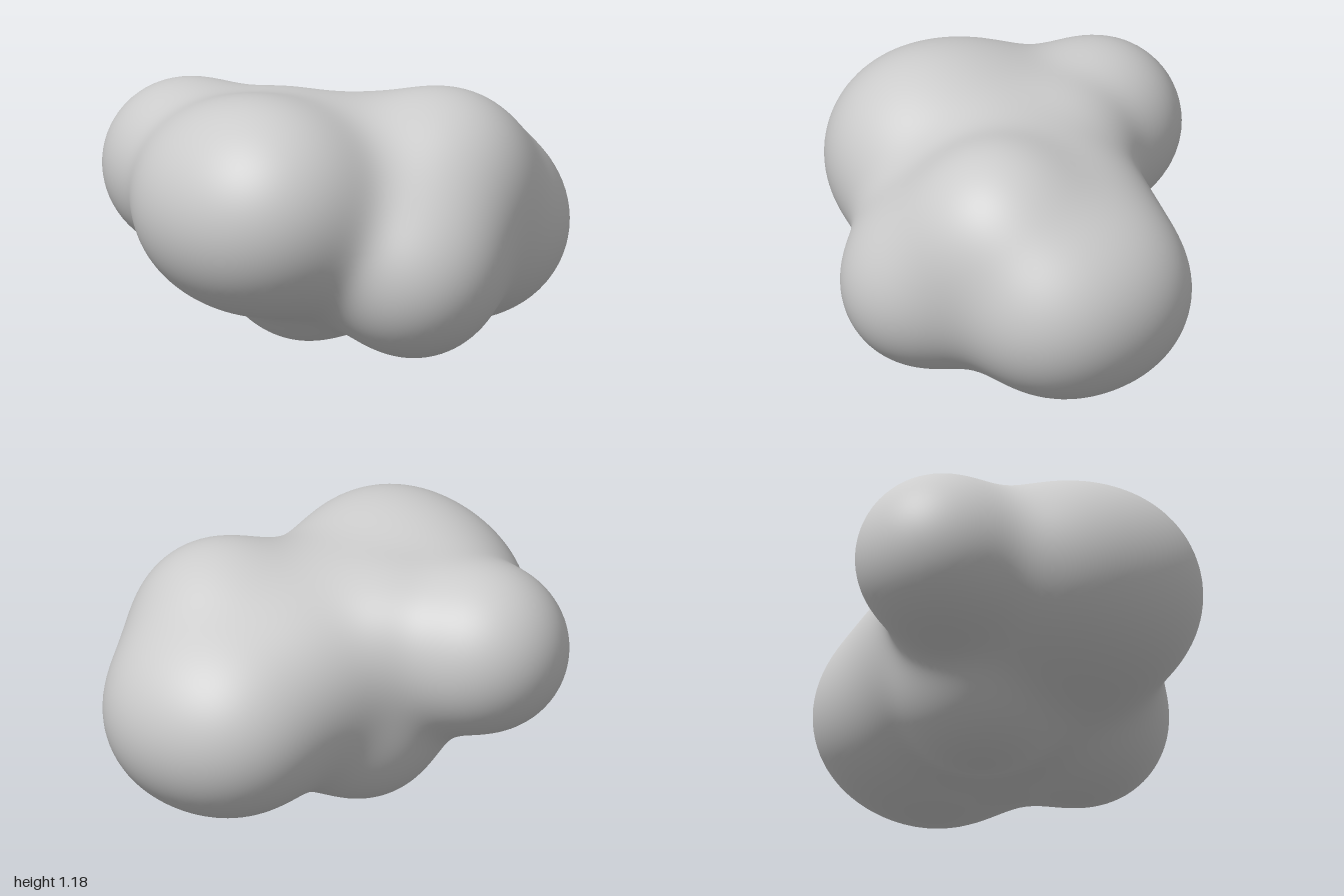
import * as THREE from 'three';
import { mergeVertices } from 'three/addons/utils/BufferGeometryUtils.js';

// Lobes of the blob: x, y, z, radius
const LOBES = [
  [0.21, 0.72, 0.525, 0.43],   // front
  [-0.05, 0.7, 0.55, 0.38],    // front, inner side
  [-0.56, 0.725, 0.38, 0.355], // side, -x
  [0.55, 0.41, 0.0, 0.345],    // side, +x
  [-0.1, 0.33, 0.09, 0.318],   // underside
  [0.0, 0.475, -0.56, 0.365],  // back
  [0.24, 0.475, -0.585, 0.365], // back, outer side
  [0.36, 0.765, -0.31, 0.345], // upper back
  [0.47, 0.6, -0.14, 0.23],    // bridge from upper back to +x side
  [0.34, 0.42, -0.3, 0.16],    // bridge from +x side to back
  [-0.03, 0.62, -0.24, 0.33],  // bridge from back to core
  [-0.24, 0.8, 0.11, 0.21],    // ridge from core to -x side
  [0.1, 0.66, 0.08, 0.36],     // core
];
const BLEND = 0.1;
const CENTRE = new THREE.Vector3(0.04, 0.6, 0.06);

// Smoothly blended distance to all lobes (negative inside)
function field(p) {
  let sum = 0;
  for (const [x, y, z, r] of LOBES) {
    sum += Math.exp((r - Math.hypot(p.x - x, p.y - y, p.z - z)) / BLEND);
  }
  return -BLEND * Math.log(sum);
}

// Outermost surface point along a direction from the centre
function surfacePoint(dir) {
  const p = new THREE.Vector3();
  const at = (t) => p.copy(CENTRE).addScaledVector(dir, t);
  let inner = 1.6;
  while (inner > 0.05 && field(at(inner)) > 0) inner -= 0.02;
  let outer = inner + 0.02;
  for (let i = 0; i < 12; i++) {
    const mid = (inner + outer) / 2;
    if (field(at(mid)) > 0) outer = mid; else inner = mid;
  }
  return at(inner);
}

export function createModel() {
  const group = new THREE.Group();
  group.name = 'blob';

  // Shrink-wrap a fine sphere onto the blended lobes
  let geometry = new THREE.IcosahedronGeometry(1, 30);
  geometry.deleteAttribute('normal');
  geometry.deleteAttribute('uv');
  geometry = mergeVertices(geometry, 1e-4);
  const pos = geometry.attributes.position;
  const dir = new THREE.Vector3();
  for (let i = 0; i < pos.count; i++) {
    const p = surfacePoint(dir.fromBufferAttribute(pos, i).normalize());
    pos.setXYZ(i, p.x, p.y, p.z);
  }

  // Centre it and stand it on the ground
  geometry.computeBoundingBox();
  const { min, max } = geometry.boundingBox;
  geometry.translate(-(min.x + max.x) / 2, -min.y, -(min.z + max.z) / 2);
  geometry.computeVertexNormals();

  const body = new THREE.Mesh(geometry, new THREE.MeshStandardMaterial({ color: 0xcccccc }));
  body.name = 'lobedBody';
  group.add(body);
  return group;
}
